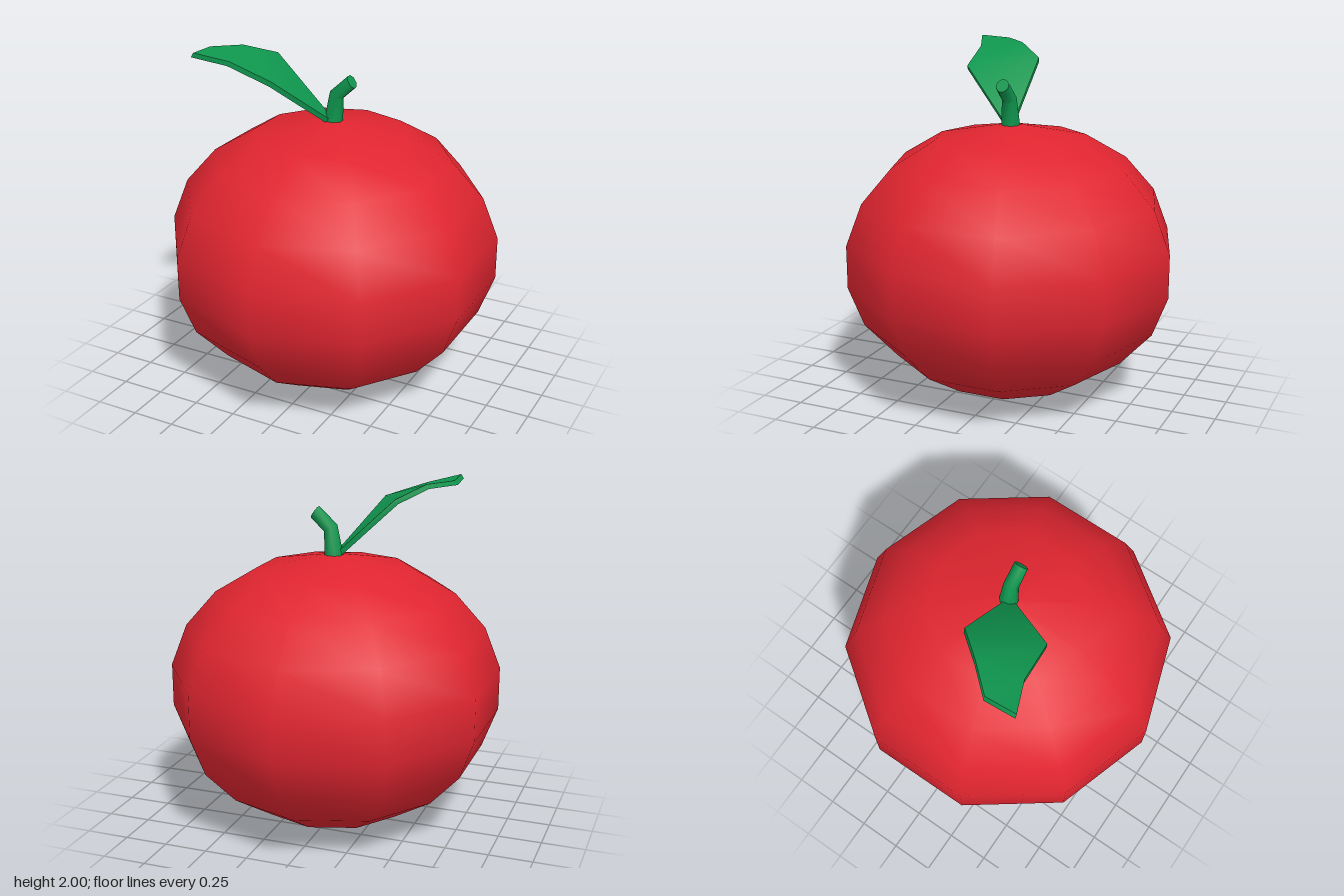
import * as THREE from 'three';
import { toCreasedNormals } from 'three/addons/utils/BufferGeometryUtils.js';

// Closed solid through a row of rings, capped at both ends
function loft(rings, crease) {
  const n = rings[0].length;
  const points = [];
  const tri = (a, b, c) => points.push(a, b, c);
  for (let k = 0; k < rings.length - 1; k++) {
    for (let i = 0; i < n; i++) {
      const j = (i + 1) % n;
      tri(rings[k][i], rings[k][j], rings[k + 1][j]);
      tri(rings[k][i], rings[k + 1][j], rings[k + 1][i]);
    }
  }
  const first = rings[0];
  const last = rings[rings.length - 1];
  for (let i = 1; i < n - 1; i++) {
    tri(first[0], first[i + 1], first[i]);
    tri(last[0], last[i], last[i + 1]);
  }
  const geometry = new THREE.BufferGeometry().setFromPoints(points);
  return toCreasedNormals(geometry, crease);
}

// Round ring in the x-y plane's bend, tilted from vertical towards +x
function stemRing([x, y, radius, tilt], sides = 8) {
  return Array.from({ length: sides }, (_, i) => {
    const a = ((i + 0.5) / sides) * Math.PI * 2;
    const u = radius * Math.cos(a);
    return new THREE.Vector3(x + u * Math.cos(tilt), y - u * Math.sin(tilt), -radius * Math.sin(a));
  });
}

export function createModel() {
  const red = new THREE.MeshStandardMaterial({ color: 0xe02530 });
  red.name = 'fruit red';
  const green = new THREE.MeshStandardMaterial({ color: 0x0f964e });
  green.name = 'leaf green';

  const model = new THREE.Group();
  model.name = 'fruit';
  const add = (name, geometry, material) => {
    const mesh = new THREE.Mesh(geometry, material);
    mesh.name = name;
    model.add(mesh);
  };

  // Ten-sided smooth body
  const profile = [
    [0, 0], [0.15, 0.015], [0.44, 0.09], [0.68, 0.24], [0.865, 0.44], [0.953, 0.67],
    [0.953, 0.92], [0.86, 1.16], [0.685, 1.36], [0.44, 1.505], [0.05, 1.58], [0, 1.58],
  ].map(([r, y]) => new THREE.Vector2(r, y));
  add('body', new THREE.LatheGeometry(profile, 10), red);

  // Bent stem: x, y, radius, tilt
  const stem = [[0.005, 1.56, 0.054, 0.1], [0.027, 1.73, 0.042, 0.5], [0.12, 1.816, 0.04, 1.0]];
  add('stem', loft(stem.map((s) => stemRing(s)), 1.0), green);

  // Thin leaf: front edge and back edge at each station
  const thickness = new THREE.Vector3(-0.015, -0.025, 0.004);
  const stations = [
    [[0.0, 1.6, 0.05], [-0.02, 1.6, -0.01]],
    [[-0.18, 1.87, 0.36], [-0.355, 1.915, -0.02]],
    [[-0.42, 1.955, 0.385], [-0.485, 1.982, 0.14]],
    [[-0.6, 2.0, 0.46], [-0.61, 1.99, 0.28]],
  ];
  const leaf = stations.map(([front, back]) => {
    const f = new THREE.Vector3(...front);
    const b = new THREE.Vector3(...back);
    return [f, b, b.clone().add(thickness), f.clone().add(thickness)];
  });
  add('leaf', loft(leaf, 0.9), green);

  return model;
}
